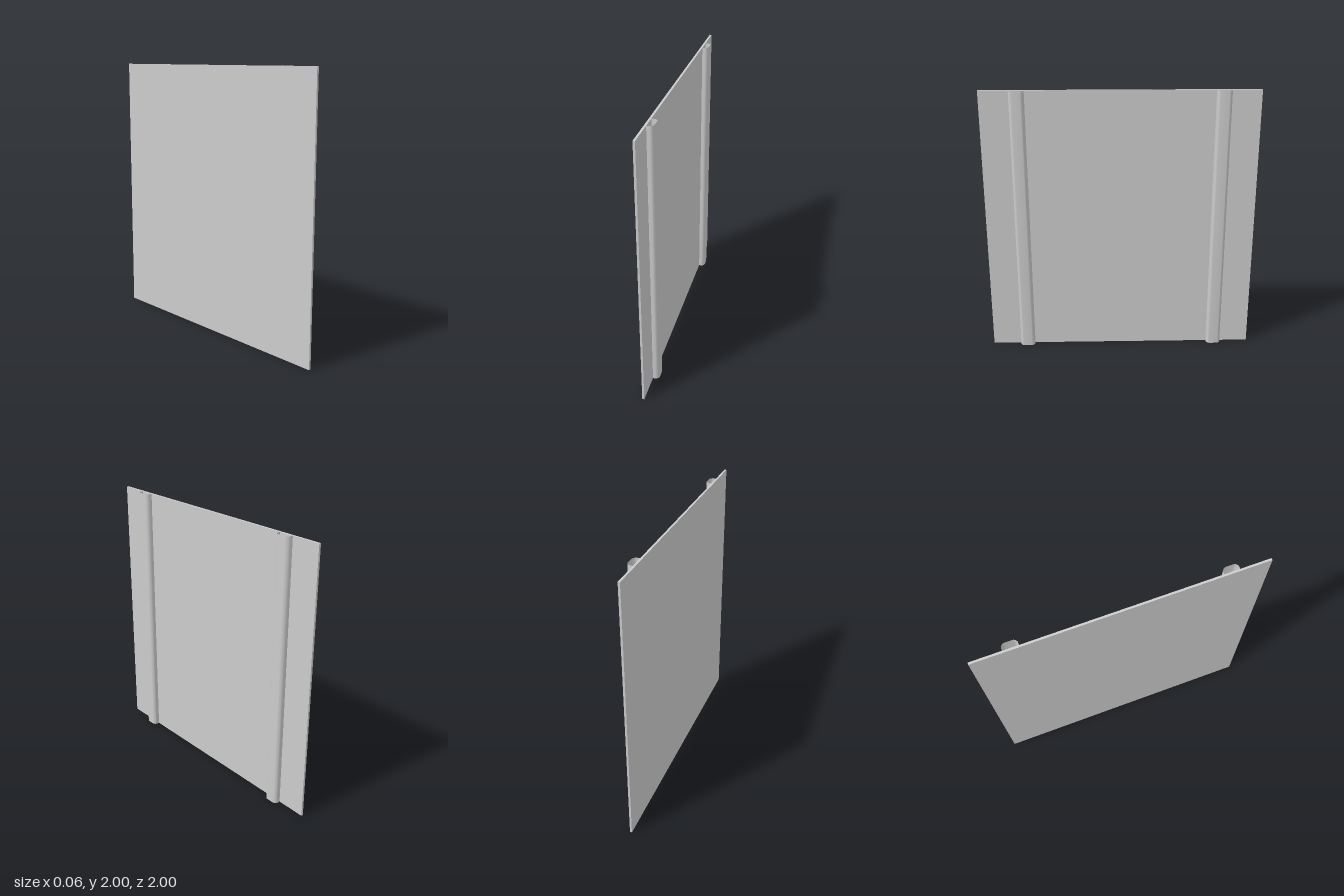
import * as THREE from 'three';

const material = new THREE.MeshStandardMaterial({ color: 0xcccccc });
const sheetMaterial = new THREE.MeshStandardMaterial({ color: 0xcccccc, side: THREE.DoubleSide });

const HEIGHT = 2, FACE_X = -0.015, OUTER_X = 0.03;

// Rib section: straight flanks, softened corners, flat outer face. Points are (z, x).
function ribProfile(halfWidth, soft) {
  const flankX = OUTER_X - soft, flatZ = halfWidth - soft;
  const corner = new THREE.QuadraticBezierCurve(
    new THREE.Vector2(halfWidth, flankX),
    new THREE.Vector2(halfWidth - soft * 0.3, OUTER_X - soft * 0.3),
    new THREE.Vector2(flatZ, OUTER_X)
  ).getPoints(3);
  const half = [new THREE.Vector2(halfWidth, FACE_X), ...corner];
  const mirrored = half.map((p) => new THREE.Vector2(-p.x, p.y)).reverse();
  return [...half, ...mirrored];
}

// Open-ended folded sheet: a plane whose columns follow the rib section
function makeRib(z) {
  const profile = ribProfile(0.054, 0.022);
  const geometry = new THREE.PlaneGeometry(1, HEIGHT, profile.length - 1, 1);
  const pos = geometry.attributes.position;
  for (let i = 0; i < pos.count; i++) {
    const p = profile[i % profile.length];
    pos.setXYZ(i, p.y, pos.getY(i) + HEIGHT / 2, p.x);
  }
  geometry.computeVertexNormals();
  const rib = new THREE.Mesh(geometry, sheetMaterial);
  rib.position.z = z;
  return rib;
}

export function createModel() {
  const model = new THREE.Group();
  model.name = 'ribbedPanel';

  // Flat panel
  const panel = new THREE.Mesh(new THREE.BoxGeometry(0.015, HEIGHT, 2), material);
  panel.name = 'panel';
  panel.position.set(-0.0225, HEIGHT / 2, 0);
  model.add(panel);

  // Two upright hollow ribs
  for (const side of [1, -1]) {
    const rib = makeRib(side * 0.73);
    rib.name = side > 0 ? 'frontRib' : 'backRib';
    model.add(rib);
  }
  return model;
}
